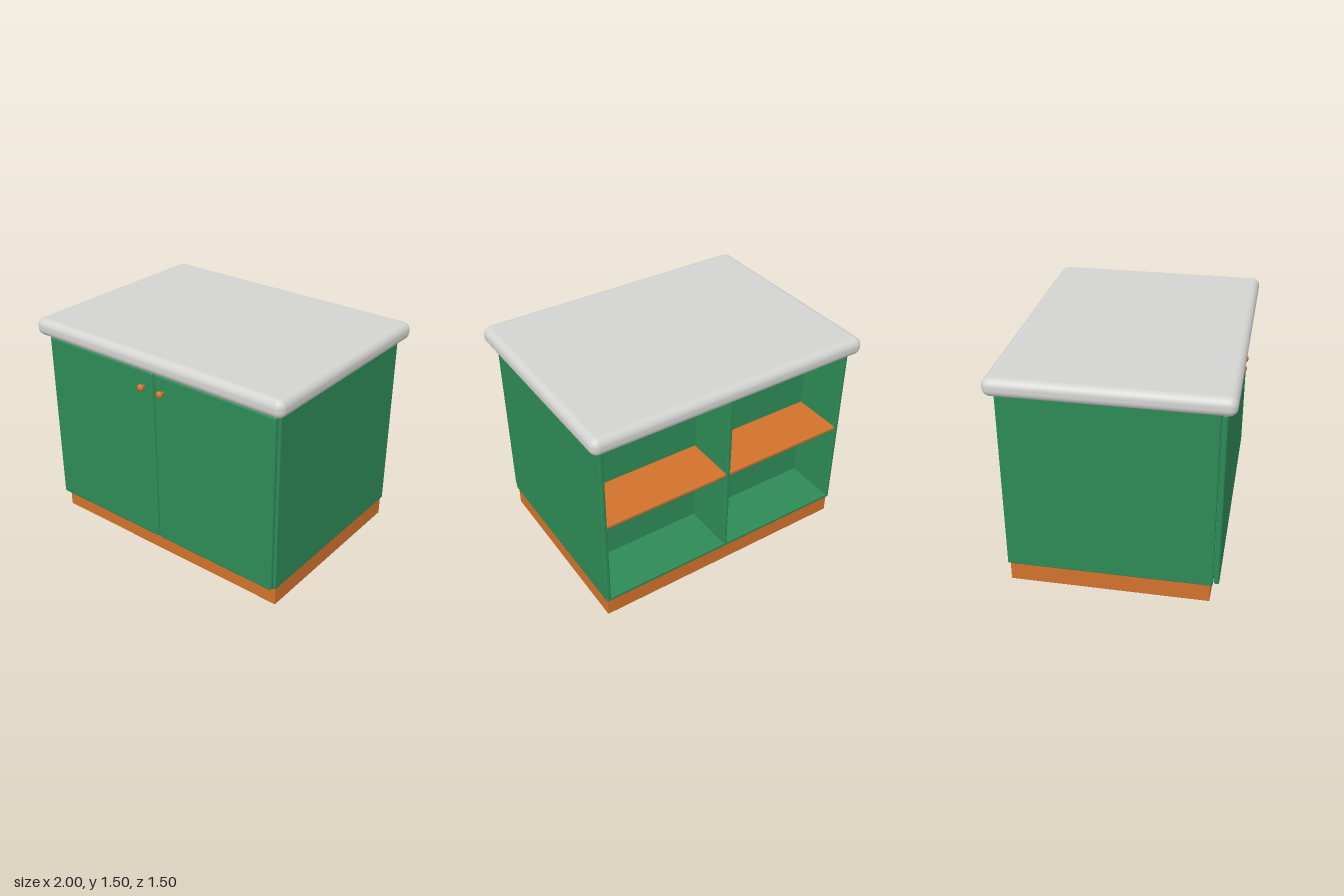
import * as THREE from 'three';
import { RoundedBoxGeometry } from 'three/addons/geometries/RoundedBoxGeometry.js';

const green = new THREE.MeshStandardMaterial({ color: 0x2e8b57 });
green.name = 'greenPaint';
const wood = new THREE.MeshStandardMaterial({ color: 0xd2722c });
wood.name = 'orangeWood';
const stone = new THREE.MeshStandardMaterial({ color: 0xd3d3d1 });
stone.name = 'greyStone';

// Rounded block given by its min and max on each axis
function block(name, mat, [x0, x1], [y0, y1], [z0, z1], radius = 0.01, segments = 3) {
  const geo = new RoundedBoxGeometry(x1 - x0, y1 - y0, z1 - z0, segments, radius);
  const mesh = new THREE.Mesh(geo, mat);
  mesh.name = name;
  mesh.position.set((x0 + x1) / 2, (y0 + y1) / 2, (z0 + z1) / 2);
  return mesh;
}

// Range mirrored to the given side, kept in ascending order
const mirror = (s, a, b) => (s > 0 ? [a, b] : [-b, -a]);

// Turned knob: thin stem and flattened ball, pointing to +z
function knob(name) {
  const pts = [new THREE.Vector2(0.011, 0), new THREE.Vector2(0.009, 0.016)];
  for (let i = 2; i <= 12; i++) {
    const a = (i / 12) * Math.PI;
    pts.push(new THREE.Vector2(0.024 * Math.sin(a), 0.032 - 0.018 * Math.cos(a)));
  }
  const mesh = new THREE.Mesh(new THREE.LatheGeometry(pts, 24), wood);
  mesh.name = name;
  mesh.rotation.x = Math.PI / 2;
  return mesh;
}

export function createModel() {
  const model = new THREE.Group();
  model.name = 'kitchenIsland';

  const back = -0.69, front = 0.656, wall = -0.33; // wall: rear face of inner panel
  const half = 0.937, inner = 0.905;

  // Base and worktop
  model.add(block('plinth', wood, [-0.928, 0.928], [0, 0.14], [-0.675, 0.64], 0.004, 1));
  model.add(block('countertop', stone, [-1, 1], [1.38, 1.5], [-0.75, 0.75], 0.052, 6));

  // Carcass, open at the back
  model.add(block('floorPanel', green, [-half, half], [0.13, 0.162], [back, front]));
  model.add(block('topPanel', green, [-half, half], [1.349, 1.381], [back, front]));
  model.add(block('divider', green, [-0.016, 0.016], [0.14, 1.37], [back + 0.002, front - 0.002]));
  model.add(block('innerPanel', green, [-0.92, 0.92], [0.14, 1.37], [wall - 0.0, wall + 0.03], 0.002, 1));

  for (const s of [-1, 1]) {
    const side = s > 0 ? 'left' : 'right';
    model.add(block(side + 'SidePanel', green, mirror(s, inner, half), [0.13, 1.381], [back, front]));
    model.add(block(side + 'Shelf', wood, mirror(s, 0.012, 0.91), [0.755, 0.787], [back + 0.004, wall + 0.01], 0.012));
    model.add(block(side + 'Door', green, mirror(s, 0.003, 0.928), [0.14, 1.365], [0.66, 0.695], 0.014, 4));
    const k = knob(side + 'Knob');
    k.position.set(s * 0.078, 1.257, 0.694);
    model.add(k);
  }
  return model;
}
